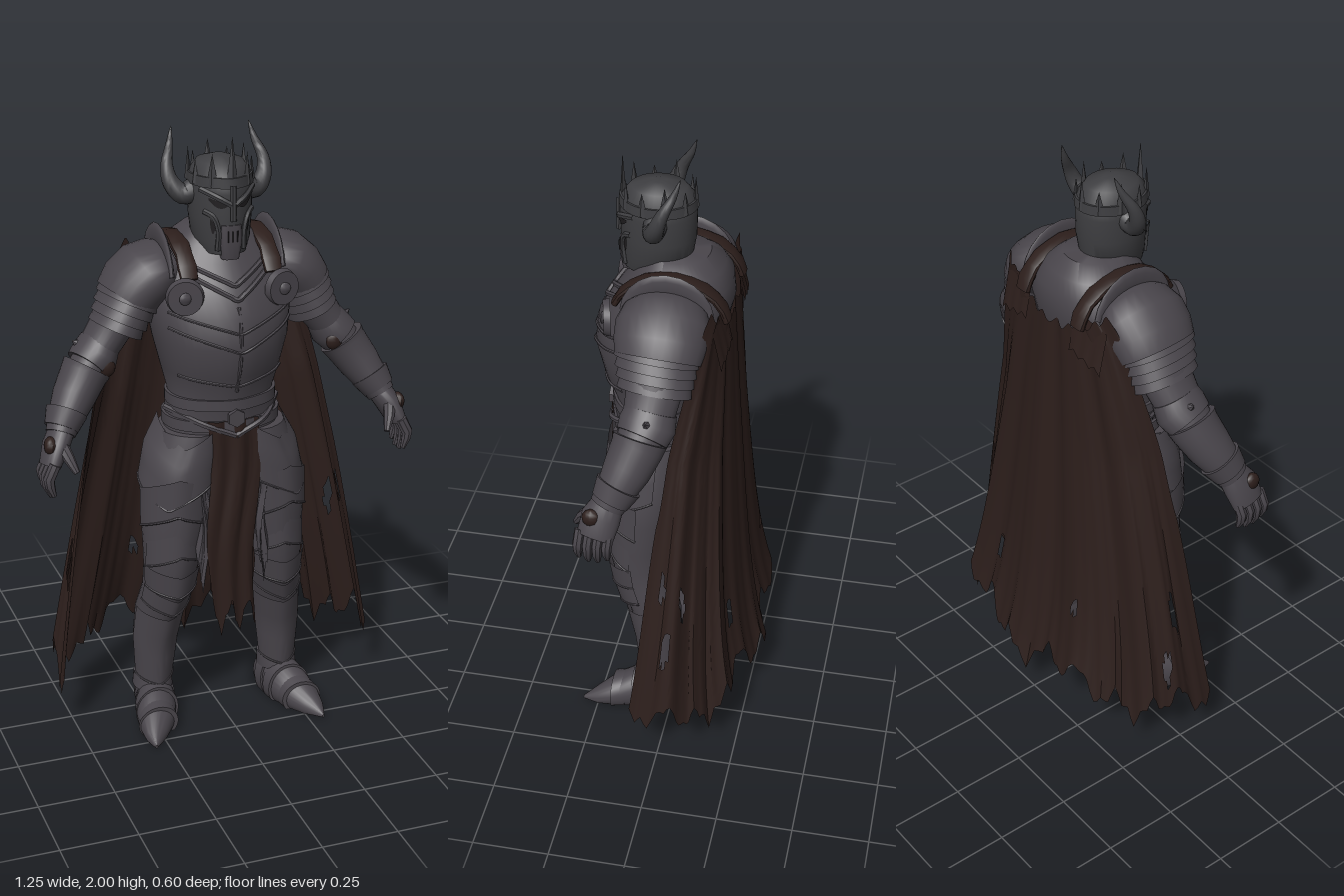
import * as THREE from 'three';
import { toCreasedNormals } from 'three/addons/utils/BufferGeometryUtils.js';

const V = (p) => new THREE.Vector3(p[0], p[1], p[2]);
const flat = (name, color, side = THREE.FrontSide) => {
  const m = new THREE.MeshStandardMaterial({ color, side });
  m.name = name;
  return m;
};
const ridgeAt = (a, k) => 1 + k * Math.exp(-((a / 0.3) ** 2));
const spow = (v, p) => Math.sign(v) * Math.abs(v) ** p;

function mesh3(pos, idx) {
  const g = new THREE.BufferGeometry();
  g.setAttribute('position', new THREE.Float32BufferAttribute(pos, 3));
  g.setIndex(idx);
  return g;
}

// Closed body through elliptical rings; each row is [x, y, z, radius across, radius deep]
function tube(rows, { axis, ref = [0, 0, 1], n = 28, pow = 1, ridge = 0, floor = -9 } = {}) {
  const pos = [], idx = [], c = rows.map(V);
  rows.forEach((r, i) => {
    const t = axis ? V(axis) : c[Math.min(i + 1, c.length - 1)].clone().sub(c[Math.max(i - 1, 0)]).normalize();
    const w = V(ref).addScaledVector(t, -V(ref).dot(t)).normalize();
    const u = t.clone().cross(w);
    for (let j = 0; j < n; j++) {
      const a = (j / n) * 2 * Math.PI, b = a > Math.PI ? a - 2 * Math.PI : a;
      const p = c[i].clone().addScaledVector(u, r[3] * spow(Math.sin(a), pow))
        .addScaledVector(w, r[4] * spow(Math.cos(a), pow) * ridgeAt(b, ridge));
      pos.push(p.x, Math.max(p.y, floor), p.z);
    }
  });
  const last = (rows.length - 1) * n, e = rows.length * n;
  pos.push(...c[0].toArray(), ...c[c.length - 1].toArray());
  for (let j = 0; j < n; j++) {
    const k = (j + 1) % n;
    for (let i = 0; i < last; i += n) idx.push(i + j, i + k, i + n + j, i + k, i + n + k, i + n + j);
    idx.push(e, k, j, e + 1, last + j, last + k);
  }
  return mesh3(pos, idx);
}

// Open grid surface f(u, v), with cells left out where hole(u, v) is true
function sheet(nu, nv, f, hole = () => false) {
  const pos = [], idx = [];
  for (let i = 0; i <= nv; i++) for (let j = 0; j <= nu; j++) pos.push(...f(j / nu, i / nv));
  for (let i = 0; i < nv; i++) for (let j = 0; j < nu; j++) {
    if (hole((j + 0.5) / nu, (i + 0.5) / nv)) continue;
    const a = i * (nu + 1) + j, b = a + nu + 1;
    idx.push(a, b, a + 1, b, b + 1, a + 1);
  }
  return mesh3(pos, idx);
}

const strip = (pts, r, seg = 20) => new THREE.TubeGeometry(new THREE.CatmullRomCurve3(pts.map(V)), seg, r, 6);

// Point on the front of a body made of horizontal rings
function onFront(rows, x, y, { pow = 1, ridge = 0 }, lift = 0.003) {
  let i = 0;
  while (i < rows.length - 2 && rows[i + 1][1] < y) i++;
  const t = (y - rows[i][1]) / (rows[i + 1][1] - rows[i][1]);
  const [, , cz, rx, rz] = rows[i].map((v, k) => v + (rows[i + 1][k] - v) * t);
  const a = Math.asin(Math.min(1, (Math.abs(x) / rx) ** (1 / pow)));
  return [x, y, cz + rz * Math.cos(a) ** pow * ridgeAt(a, ridge) + lift];
}

function mirror(src) {
  const g = new THREE.BufferGeometry(), q = (src.index ? src.toNonIndexed() : src).attributes.position;
  const pos = [];
  for (let i = 0; i < q.count; i += 3) for (const k of [0, 2, 1]) pos.push(-q.getX(i + k), q.getY(i + k), q.getZ(i + k));
  g.setAttribute('position', new THREE.Float32BufferAttribute(pos, 3));
  return g;
}

export function createModel() {
  const model = new THREE.Group();
  const steel = flat('armour steel', 0x49454b, THREE.DoubleSide);
  const dark = flat('dark steel', 0x3e3e41);
  const cloth = flat('brown cloth', 0x2c1e1b, THREE.DoubleSide);
  const black = flat('shadow black', 0x1f1d1f, THREE.DoubleSide);
  const add = (name, g, mat) => {
    const m = new THREE.Mesh(toCreasedNormals(g, 0.7), mat);
    m.name = name;
    model.add(m);
  };
  const pair = (name, g, mat) => { add(name + 'Left', g, mat); add(name + 'Right', mirror(g), mat); };
  const up = [0, 1, 0];

  // Curved plate over part of a ring stack, with a pointed edge and raised rim
  const plate = (name, rows, dir, half, point) => {
    const f = (u, v) => {
      const k = v * (rows.length - 1), i = Math.min(Math.floor(k), rows.length - 2), s = u * 2 - 1;
      const r = rows[i].map((q, n) => q + (rows[i + 1][n] - q) * (k - i)), a = dir + s * half;
      return [r[0] + r[3] * Math.sin(a), r[1] + point * (1 - Math.abs(s)), r[2] + r[4] * Math.cos(a) * ridgeAt(s, 0.06)];
    };
    pair(name, sheet(24, 6, (u, v) => f(u, 1 - v)), steel);
    pair(name + 'Rim', strip(Array.from({ length: 13 }, (_, i) => f(i / 12, 0)), 0.004, 30), steel);
  };

  // Torso
  const body = [[0, 0.96, 0.08, 0.19, 0.12], [0, 1.08, 0.085, 0.185, 0.135], [0, 1.17, 0.08, 0.17, 0.14],
    [0, 1.25, 0.08, 0.19, 0.172], [0, 1.35, 0.078, 0.215, 0.195], [0, 1.45, 0.062, 0.23, 0.198],
    [0, 1.53, 0.03, 0.225, 0.185], [0, 1.6, 0.01, 0.19, 0.16], [0, 1.65, 0.01, 0.145, 0.135], [0, 1.69, 0.02, 0.095, 0.1]];
  const bodyOpt = { axis: up, pow: 0.9, ridge: 0.07, n: 48 };
  add('cuirass', tube(body, bodyOpt), steel);
  const chest = (x, y, l) => onFront(body, x, y, bodyOpt, l);
  // Chevron plate edges: half width, outer height, centre height
  for (const [w, y0, y1] of [[0.13, 1.6, 1.54], [0.13, 1.57, 1.5], [0.2, 1.46, 1.4], [0.2, 1.41, 1.34], [0.17, 1.25, 1.22]]) {
    const pts = [];
    for (let i = -6; i <= 6; i++) pts.push(chest((w * i) / 6, y1 + (y0 - y1) * Math.abs(i / 6)));
    add('chestPlateEdge', strip(pts, w < 0.16 ? 0.009 : 0.005, 40), steel);
  }
  add('chestKeel', strip([1.2, 1.3, 1.4, 1.48].map((y) => chest(0, y, 0)), 0.006), steel);

  // Belts and buckle
  for (const [y, rx] of [[1.15, 0.18], [1.08, 0.192]])
    add('belt', tube([[0, y - 0.018, 0.085, rx, 0.142], [0, y + 0.018, 0.085, rx, 0.142]], bodyOpt), steel);
  pair('beltSash', strip([chest(0.19, 1.12, 0.008), chest(0.1, 1.09, 0.014), chest(0, 1.05, 0.016)], 0.01), steel);
  add('buckle', new THREE.CylinderGeometry(0.03, 0.03, 0.016, 6).rotateX(Math.PI / 2).translate(0, 1.11, 0.24), steel);

  // Shoulders: cloth strap, disc, collar blade, dome and overlapping lames
  const arcOver = (x, ry, rz, a0, a1) => Array.from({ length: 11 }, (_, i) => {
    const a = a0 + ((a1 - a0) * i) / 10;
    return [x, 1.52 + ry * Math.sin(a), 0.02 + rz * Math.cos(a)];
  });
  pair('shoulderStrap', tube(arcOver(0.138, 0.145, 0.18, 0.3, 3.0).map((p, i) => [...p, 0.012, 0.028 + 0.004 * (i % 2)]), { ref: [1, 0, 0], n: 12, pow: 0.7 }), cloth);
  pair('chestDisc', new THREE.CylinderGeometry(0.054, 0.06, 0.022, 28).rotateX(Math.PI / 2).rotateY(0.25).translate(0.16, 1.515, 0.215), steel);
  pair('discStud', new THREE.SphereGeometry(0.02, 12, 8).scale(1, 1, 0.4).translate(0.163, 1.515, 0.227), steel);
  pair('collarBlade', tube(arcOver(0.183, 0.145, 0.14, 0.3, 2.8).map((p, i) => [...p, 0.032 * Math.sin(0.3 + i * 0.26) + 0.006, 0.009]), { ref: [1, 0, 0], n: 12 }), steel);
  pair('pauldron', tube([[0.15, 1.58, 0.025, 0.065, 0.1], [0.185, 1.572, 0.025, 0.085, 0.132], [0.228, 1.55, 0.025, 0.1, 0.146],
    [0.268, 1.515, 0.025, 0.1, 0.144], [0.295, 1.475, 0.028, 0.094, 0.134]]), steel);
  for (let i = 0; i < 4; i++) {
    const x = 0.272 + 0.013 * i, y = 1.508 - 0.029 * i, r = 0.089 - 0.004 * i;
    pair('shoulderLame', tube([[x, y, 0.028, r, r * 1.42], [x + 0.02, y - 0.042, 0.032, r + 0.009, (r + 0.006) * 1.4]]), steel);
  }

  // Arms
  pair('upperArm', tube([[0.295, 1.48, 0.03, 0.07, 0.09], [0.35, 1.38, 0.03, 0.066, 0.085], [0.4, 1.31, 0.04, 0.06, 0.078], [0.44, 1.255, 0.06, 0.06, 0.07]]), steel);
  pair('elbowCop', tube([[0.378, 1.345, 0.03, 0.062, 0.08], [0.4, 1.305, 0.038, 0.072, 0.09], [0.43, 1.275, 0.05, 0.068, 0.082]]), steel);
  pair('elbowSpur', new THREE.ConeGeometry(0.035, 0.05, 6).rotateZ(-0.9).translate(0.452, 1.34, 0.03), steel);
  pair('elbowBinding', new THREE.SphereGeometry(0.03, 12, 8).scale(1, 1, 0.5).translate(0.385, 1.28, 0.112), cloth);
  pair('vambrace', tube([[0.432, 1.27, 0.055, 0.078, 0.086], [0.445, 1.25, 0.06, 0.074, 0.082], [0.485, 1.19, 0.085, 0.068, 0.075],
    [0.53, 1.12, 0.12, 0.053, 0.058], [0.545, 1.09, 0.135, 0.046, 0.055]]), steel);
  pair('gauntletCuff', tube([[0.515, 1.15, 0.105, 0.066, 0.073], [0.54, 1.105, 0.127, 0.053, 0.06]]), steel);
  pair('hand', tube([[0.54, 1.1, 0.13, 0.04, 0.05], [0.565, 1.06, 0.15, 0.04, 0.062], [0.59, 1.0, 0.165, 0.03, 0.058]]), steel);
  pair('handBinding', new THREE.SphereGeometry(0.03, 12, 8).scale(0.7, 1, 1).translate(0.588, 1.07, 0.175), cloth);
  for (let i = 0; i < 4; i++) {
    const z = 0.122 + i * 0.03, d = Math.abs(i - 1.5) * 0.012;
    pair('finger', tube([[0.585, 1.02, z, 0.019, 0.017], [0.607, 0.975, z + 0.004, 0.019, 0.017], [0.604, 0.935 + d, z + 0.005, 0.016, 0.015], [0.592, 0.9 + d, z + 0.005, 0.008, 0.008]], { n: 8 }), steel);
  }
  pair('thumb', tube([[0.555, 1.07, 0.185, 0.022, 0.02], [0.54, 1.035, 0.215, 0.018, 0.018], [0.523, 0.995, 0.24, 0.01, 0.01]], { n: 8 }), steel);

  // Legs with hip, thigh, knee and shin plates
  pair('leg', tube([[0.225, 0.08, 0.035, 0.058, 0.065], [0.222, 0.18, 0.04, 0.06, 0.062], [0.217, 0.3, 0.045, 0.073, 0.075],
    [0.205, 0.4, 0.06, 0.08, 0.085], [0.187, 0.5, 0.1, 0.083, 0.09], [0.18, 0.58, 0.115, 0.09, 0.095], [0.172, 0.66, 0.115, 0.1, 0.1],
    [0.16, 0.78, 0.11, 0.117, 0.117], [0.145, 0.9, 0.1, 0.122, 0.125], [0.11, 1.05, 0.09, 0.1, 0.12]], { axis: up, ridge: 0.06 }), steel);
  plate('hipPlate', [[0.145, 0.89, 0.1, 0.133, 0.136], [0.125, 1.0, 0.095, 0.13, 0.142], [0.1, 1.09, 0.09, 0.105, 0.14]], 0.6, 1.3, -0.08);
  plate('thighPlate', [[0.165, 0.73, 0.11, 0.117, 0.121], [0.155, 0.86, 0.105, 0.126, 0.13]], 0.25, 1.3, 0.06);
  plate('kneeUpper', [[0.178, 0.59, 0.113, 0.098, 0.104], [0.172, 0.68, 0.113, 0.102, 0.105]], 0, 1.35, 0.05);
  plate('kneeCop', [[0.185, 0.52, 0.106, 0.089, 0.099], [0.18, 0.6, 0.112, 0.1, 0.108]], 0, 1.4, -0.03);
  plate('kneeLower', [[0.196, 0.46, 0.082, 0.086, 0.096], [0.186, 0.52, 0.1, 0.09, 0.1]], 0, 1.35, -0.045);
  plate('greave', [[0.222, 0.16, 0.04, 0.065, 0.07], [0.217, 0.3, 0.045, 0.078, 0.08], [0.203, 0.42, 0.065, 0.084, 0.09]], 0, 1.5, -0.03);
  const shoe = [[0.212, 0.05, -0.045, 0.035, 0.045], [0.218, 0.055, -0.01, 0.058, 0.075], [0.225, 0.06, 0.06, 0.064, 0.09],
    [0.238, 0.048, 0.12, 0.07, 0.08], [0.256, 0.038, 0.19, 0.064, 0.055], [0.278, 0.022, 0.25, 0.038, 0.032], [0.296, 0.012, 0.302, 0.004, 0.006]];
  const shoeOpt = { axis: [0, 0, 1], ref: up, floor: 0.001 };
  pair('sabaton', tube(shoe, shoeOpt), steel);
  for (const i of [2, 3, 4]) {
    const [x, y, z, a, b] = shoe[i];
    pair('footLame', tube([[x - 0.008, y, z - 0.035, a + 0.001, b + 0.014], [x, y, z + 0.012, a + 0.005, b + 0.004]], shoeOpt), steel);
  }
  pair('ankleCuff', tube([[0.225, 0.105, 0.04, 0.067, 0.077], [0.223, 0.15, 0.038, 0.064, 0.071]], { axis: up }), steel);

  // Helmet and skull-like visor
  const skull = [[0, 1.63, 0.11, 0.07, 0.08], [0, 1.67, 0.085, 0.09, 0.108], [0, 1.74, 0.08, 0.097, 0.115], [0, 1.82, 0.08, 0.099, 0.117],
    [0, 1.87, 0.08, 0.095, 0.113], [0, 1.905, 0.08, 0.072, 0.085], [0, 1.922, 0.08, 0.02, 0.025]];
  const skullOpt = { axis: up, ridge: 0.05, n: 40 };
  const face = (x, y, l) => onFront(skull, x, y, skullOpt, l);
  add('helmet', tube(skull, skullOpt), dark);
  const patch = (x0, x1, y0, y1, tilt) => sheet(8, 4, (u, v) => {
    const x = x0 + (x1 - x0) * u;
    return face(x, y1 + (y0 - y1) * v * Math.sin(0.4 + u * 2.4) + tilt * u, 0.004);
  });
  pair('eyeSlot', patch(0.018, 0.068, 1.772, 1.794, 0.016), black);
  pair('cheekSlot', patch(0.05, 0.064, 1.69, 1.73, 0.015), black);
  pair('brow', strip([face(0.005, 1.79, 0.004), face(0.04, 1.81, 0.004), face(0.085, 1.832, 0.002)], 0.01), dark);
  pair('cheekGuard', strip([face(0.078, 1.765), face(0.055, 1.75), face(0.042, 1.71), face(0.042, 1.645)], 0.009), dark);
  add('chinGuard', tube([[0, 1.615, 0.168, 0.028, 0.028], [0, 1.67, 0.172, 0.036, 0.032], [0, 1.725, 0.172, 0.034, 0.03]], { axis: up, pow: 0.6 }), steel);
  for (let i = -1; i <= 1; i++) add('mouthSlit', new THREE.BoxGeometry(0.004, 0.035, 0.006).translate(i * 0.015, 1.69, 0.203), black);
  add('nosePiece', strip([face(0, 1.85), face(0, 1.79), face(0, 1.74, 0.006)], 0.01), dark);

  // Crown and horns
  add('crownBand', tube([[0, 1.84, 0.08, 0.102, 0.12], [0, 1.872, 0.08, 0.1, 0.118]], skullOpt), dark);
  for (let i = 0; i < 10; i++) {
    const a = (i / 10) * 2 * Math.PI, h = i === 0 ? 0.155 : i % 2 ? 0.1 : 0.075;
    add('crownSpike', new THREE.ConeGeometry(0.02, h, 4).scale(1, 1, 0.55).translate(0, 1.845 + h / 2, 0)
      .rotateY(a).translate(0.096 * Math.sin(a), 0, 0.08 + 0.112 * Math.cos(a)), dark);
  }
  const hornCurve = new THREE.CatmullRomCurve3([[0.08, 1.815, 0.075], [0.12, 1.805, 0.075], [0.152, 1.84, 0.06], [0.158, 1.89, 0.04], [0.14, 1.945, 0.01], [0.127, 1.998, -0.01]].map(V));
  pair('horn', tube(hornCurve.getPoints(20).map((p, i) => {
    const r = 0.038 * (1 - i / 20) ** 0.8 + 0.001;
    return [p.x, p.y, p.z, r, r];
  }), { n: 14 }), dark);

  // Torn cape, flat across the back and wrapping forward around the sides lower down
  const tooth = (s, f) => Math.abs(((s * f) % 1) * 2 - 1);
  add('cape', sheet(120, 40, (u, v) => {
    const s = 1 - u * 2, a = s * (1.1 + 0.68 * Math.sqrt(v)), e = Math.abs(s);
    const hem = 0.14 + 0.1 * tooth(u, 11) + 0.05 * tooth(u, 29) + 0.04 * Math.sin(u * 23) - 0.06 * e ** 8;
    const top = 1.575 - 0.07 * Math.cos(s * 2.2) + 0.012 * Math.sin(u * 60);
    const fold = (0.004 + 0.012 * v) * (Math.sin(s * 17) + 0.5 * Math.sin(s * 31 + 1)) * (1 - 0.8 * e ** 4);
    const w = 0.28 + 0.272 * v ** 0.85 + fold, d = 0.163 + 0.075 * v + 0.045 * v ** 6 + fold;
    return [w * Math.sin(a), top + (hem - top) * v, 0.005 - d * spow(Math.cos(a), 0.3 + 0.5 * Math.min(1, v * 3))];
  }, (u, v) => [[0.07, 0.82, 1], [0.12, 0.68, 0.7], [0.93, 0.76, 1], [0.88, 0.9, 0.8], [0.35, 0.87, 0.8], [0.62, 0.82, 0.6], [0.04, 0.64, 0.6]]
    .some(([x, y, k]) => ((u - x) / (0.014 * k)) ** 2 + ((v - y) / (0.05 * k)) ** 2 < 1)), cloth);
  pair('capeShoulder', sheet(12, 6, (u, v) => [0.11 + 0.14 * u, 1.59 - 0.03 * u - 0.12 * v - 0.02 * tooth(u, 3) * v, -0.14 - 0.03 * v + 0.01 * u * u]), cloth);

  // Front loincloth and side tatters
  const hanging = (x, w, y0, y1, z, f) => sheet(24, 16, (u, v) => {
    const hem = y1 + 0.13 * tooth(u, f) + 0.03 * tooth(u, 7), s = u * 2 - 1;
    return [x + s * w * (1 - 0.08 * v) + 0.01 * Math.sin(v * 7), y0 + (hem - y0) * v, z + 0.006 * Math.sin(s * 7 + v * 3) - 0.015 * s * s];
  });
  add('loincloth', hanging(-0.005, 0.084, 1.1, 0.33, 0.237, 2.5), cloth);
  add('loinclothBack', hanging(0, 0.088, 1.05, 0.42, 0.205, 3), cloth);
  pair('sideTatter', hanging(0.1, 0.02, 1.0, 0.5, 0.222, 1), steel);
  return model;
}
